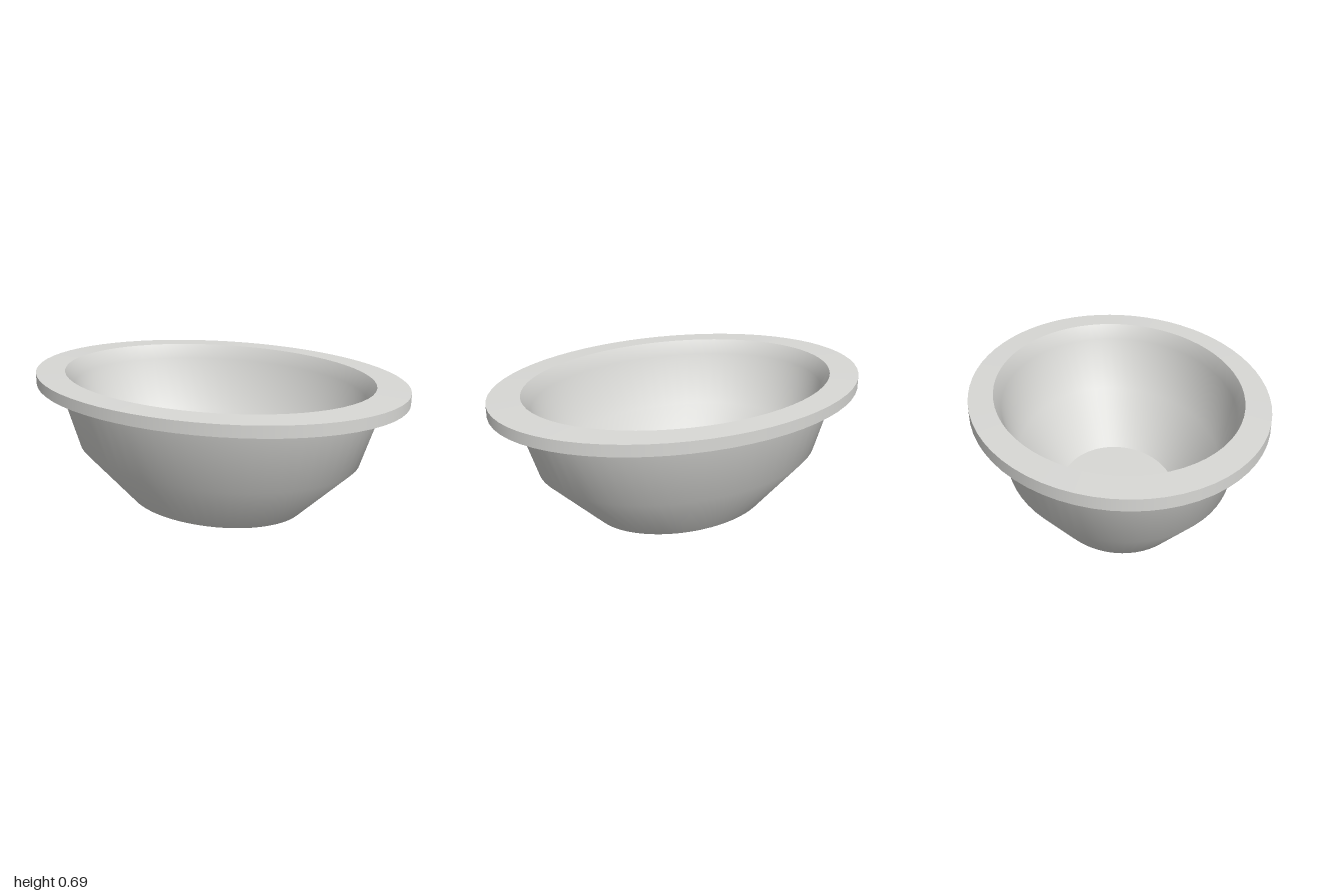
import * as THREE from 'three';

export function createModel() {
  const group = new THREE.Group();
  const ceramic = new THREE.MeshStandardMaterial({ color: 0xd8d8d5 });
  ceramic.name = 'pale grey ceramic';

  const depth = 0.75; // oval: depth relative to width

  // One smooth surface turned from a profile; separate parts keep edges sharp
  function turned(name, profile, zScale = depth) {
    const points = profile.map(([x, y]) => new THREE.Vector2(x, y));
    const geometry = new THREE.LatheGeometry(points, 64);
    geometry.scale(1, 1, zScale);
    const mesh = new THREE.Mesh(geometry, ceramic);
    mesh.name = name;
    group.add(mesh);
  }

  // Outside of the basin, from the base up to the rim
  turned('base', [[0, 0], [0.49, 0]]);
  turned('outerWall', [[0.49, 0], [0.775, 0.29], [0.875, 0.615]]);

  // Rim, thinning very slightly towards its edge
  turned('rimUnderside', [[0.875, 0.615], [1, 0.622]]);
  turned('rimEdge', [[1, 0.622], [1, 0.68]]);
  turned('rimTop', [[1, 0.68], [0.835, 0.685]]);

  // Inside of the basin: sloped lip, steep wall, then sloping to the floor
  turned('innerWall', [[0.835, 0.685], [0.79, 0.61], [0.7, 0.32], [0.408, 0.08]]);
  turned('floor', [[0.408, 0.08], [0, 0.08]]);

  // Round drain with a slightly domed cap
  turned('drainSide', [[0.08, 0.08], [0.08, 0.09]], 1);
  turned('drainCap', [[0.08, 0.09], [0.06, 0.097], [0.03, 0.102], [0, 0.104]], 1);

  return group;
}
